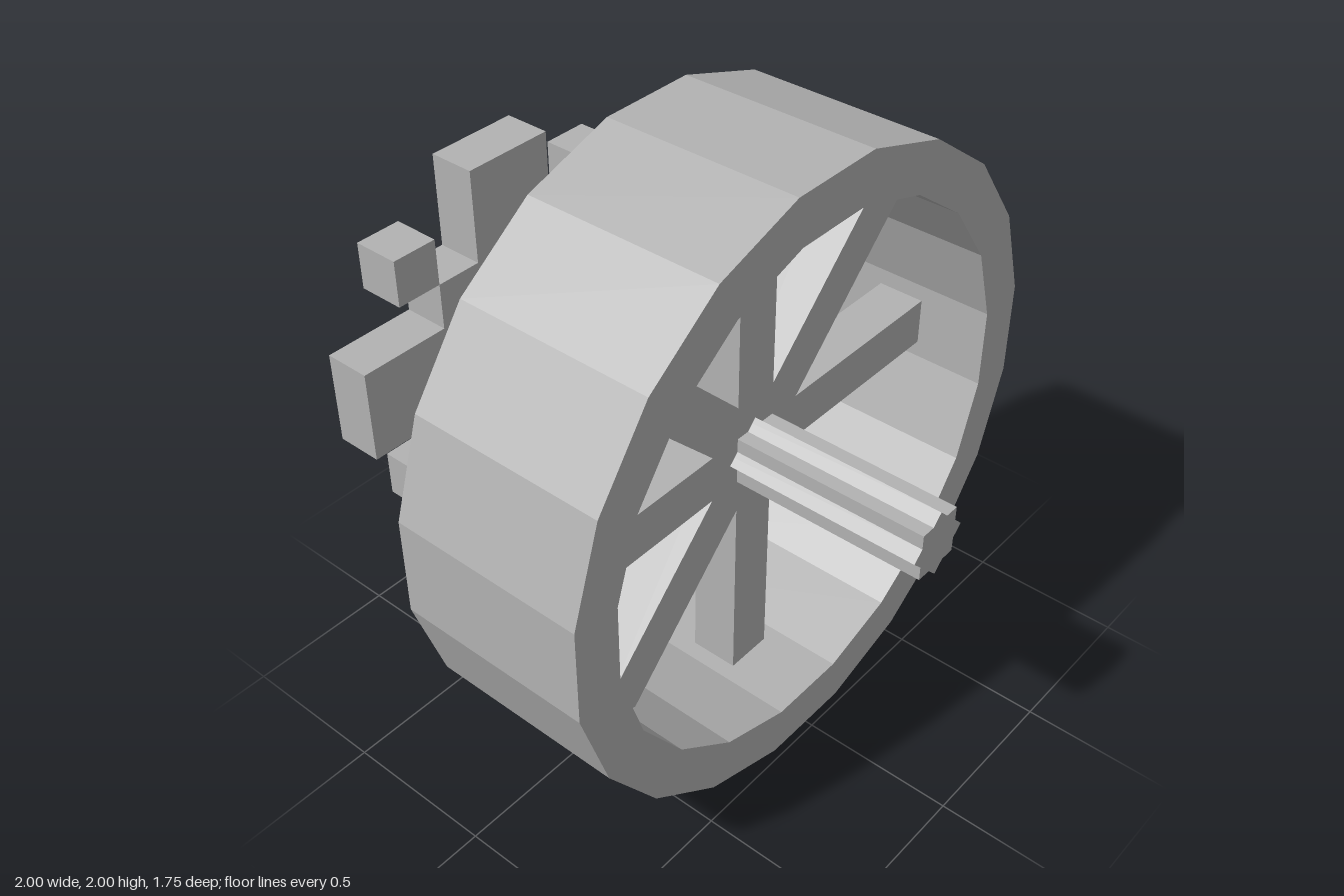
import * as THREE from 'three';

const U = 0.158; // basic module of the part sizes

export function createModel() {
  const model = new THREE.Group();
  model.name = 'spokedWheel';
  const grey = new THREE.MeshStandardMaterial({ color: 0xb2b2b2 });
  grey.name = 'plain grey';

  // everything turns about the axle, at height 1
  const add = (name, geometry, x = 0, y = 0, z = 0, turn = 0) => {
    const mesh = new THREE.Mesh(geometry, grey);
    mesh.name = name;
    mesh.position.set(x, 1 + y, z);
    mesh.rotation.z = turn;
    model.add(mesh);
    return mesh;
  };
  const extrude = (shape, z0, z1) =>
    new THREE.ExtrudeGeometry(shape, { depth: z1 - z0, bevelEnabled: false }).translate(0, 0, z0);

  // rim: twenty-sided ring with flat facets
  const polygon = (apothem, sides) => Array.from({ length: sides }, (_, i) => {
    const a = (2 * i + 1) * Math.PI / sides;
    const r = apothem / Math.cos(Math.PI / sides);
    return new THREE.Vector2(r * Math.cos(a), r * Math.sin(a));
  });
  const ring = new THREE.Shape(polygon(1, 20));
  ring.holes.push(new THREE.Path(polygon(0.845, 20)));
  add('rim', extrude(ring, -U, 0.475));

  // spokes: four square bars through the hub
  for (let i = 0; i < 4; i++) {
    add('spokeBar', new THREE.BoxGeometry(1.69, U, U), 0, 0, U, i * Math.PI / 4);
  }

  // axle: eight-pointed star section
  const star = new THREE.Shape(Array.from({ length: 16 }, (_, i) => {
    const r = i % 2 ? U / 2 / Math.cos(Math.PI / 8) : U / Math.SQRT2;
    const a = i * Math.PI / 8;
    return new THREE.Vector2(r * Math.cos(a), r * Math.sin(a));
  }));
  add('axle', extrude(star, -0.64, 0.875));

  // square collar between axle and gear
  add('collar', new THREE.BoxGeometry(2 * U, 2 * U, 0.08), 0, 0, -0.677);

  // gear: stepped cross, one quarter outline repeated four times
  const quarter = [[4, 1], [2, 1], [2, 2], [1, 2], [1, 4]];
  const outline = [];
  for (let k = 0; k < 4; k++) {
    for (const [x, y] of quarter) {
      outline.push(new THREE.Vector2(x * U, y * U).rotateAround(new THREE.Vector2(), k * Math.PI / 2));
    }
  }
  add('gear', extrude(new THREE.Shape(outline), -0.875, -0.717));

  // cubes at the gear corners
  for (const sx of [-1, 1]) {
    for (const sy of [-1, 1]) {
      add('gearTooth', new THREE.BoxGeometry(U, U, U), sx * 2.5 * U, sy * 2.5 * U, -0.796);
    }
  }
  return model;
}
